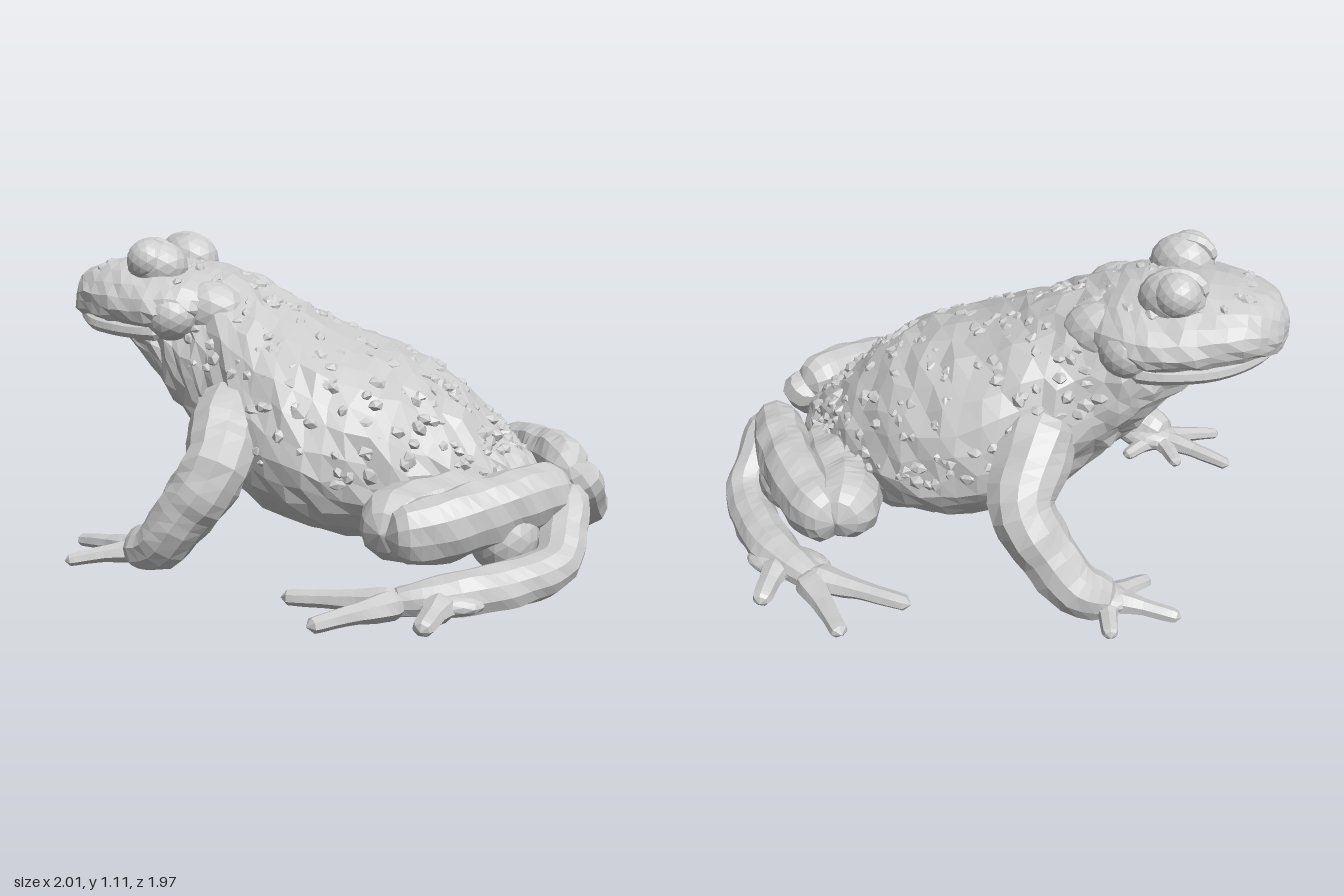
import * as THREE from 'three';
import { mergeGeometries } from 'three/addons/utils/BufferGeometryUtils.js';

const material = new THREE.MeshStandardMaterial({ color: 0xcccccc, flatShading: true });
let seed = 7;
const rand = () => (seed = (seed * 16807) % 2147483647) / 2147483647;
const V = (x, y, z) => new THREE.Vector3(x, y, z);
// Uneven skin: a smooth ripple that depends only on position
const ripple = p => Math.sin(31 * p.x + 17 * p.z) * Math.sin(29 * p.y + 13 * p.x) + 0.6 * Math.sin(47 * p.z - 37 * p.y);

function add(parent, name, geometry) {
  const mesh = new THREE.Mesh(geometry, material);
  mesh.name = name;
  parent.add(mesh);
  return mesh;
}

function ball(parent, name, [x, y, z], [sx, sy, sz]) {
  const mesh = add(parent, name, new THREE.IcosahedronGeometry(1, 2));
  mesh.position.set(x, y, z);
  mesh.scale.set(sx, sy, sz);
}

// Surface through upright cross-sections [x, top, bottom, half width]
function sectionSurface(rings, waist) {
  const heights = new THREE.CatmullRomCurve3(rings.map(r => V(r[0], r[1], r[2])));
  const widths = new THREE.CatmullRomCurve3(rings.map(r => V(r[0], r[3], 0)));
  return (t, a) => {
    const h = heights.getPoint(t), w = Math.max(widths.getPoint(t).y, 0);
    const mid = h.z + (h.y - h.z) * waist;
    const s = Math.sin(a), c = Math.cos(a);
    return V(h.x, mid + s * (s > 0 ? h.y - mid : mid - h.z), w * Math.sign(c) * Math.abs(c) ** 0.9);
  };
}

function loft(surface, rows, cols, rough) {
  const pos = [], index = [];
  for (let i = 0; i <= rows; i++) for (let j = 0; j < cols; j++) {
    const p = surface(i / rows, j / cols * Math.PI * 2);
    const k = rough * Math.min(1, i / 4, (rows - i) / 6);
    pos.push(p.x + (rand() - 0.5) * k, p.y + (rand() - 0.5) * k, p.z + (rand() - 0.5) * k);
    if (i === rows) continue;
    const a = i * cols + j, b = i * cols + (j + 1) % cols;
    index.push(a, a + cols, b, b, a + cols, b + cols);
  }
  const g = new THREE.BufferGeometry();
  g.setAttribute('position', new THREE.Float32BufferAttribute(pos, 3));
  g.setIndex(index);
  g.computeVertexNormals();
  return g;
}

// Round-ended tube through points [x, y, z, radius]; flat scales it in y
function limb(points, segments = 22, sides = 11, flat = 1) {
  const curve = new THREE.CatmullRomCurve3(points.map(p => V(p[0], p[1], p[2])));
  const g = new THREE.TubeGeometry(curve, segments, 1, sides);
  const pos = g.attributes.position, length = curve.getLength(), v = V(0, 0, 0);
  for (let i = 0; i < pos.count; i++) {
    const u = Math.floor(i / (sides + 1)) / segments;
    const f = curve.getUtoTmapping(u) * (points.length - 1);
    const k = Math.min(Math.floor(f), points.length - 2);
    let r = THREE.MathUtils.lerp(points[k][3], points[k + 1][3], f - k);
    const end = Math.min(u, 1 - u) * length;
    if (end < r) r *= Math.sqrt(Math.max(0, 1 - ((r - end) / r) ** 2));
    const c = curve.getPointAt(u);
    v.fromBufferAttribute(pos, i).sub(c).multiplyScalar(r);
    v.multiplyScalar(1 + 0.05 * ripple(v.clone().add(c)));
    pos.setXYZ(i, c.x + v.x, Math.max(c.y + v.y * flat, 0.008), c.z + v.z);
  }
  g.computeVertexNormals();
  return g;
}

// Digits from a shared root [x, z] to each tip [x, z]
function digits(parent, name, root, tips, rootY, r) {
  for (const [x, z] of tips) {
    const mx = root[0] * 0.5 + x * 0.5, mz = root[1] * 0.5 + z * 0.5;
    add(parent, name, limb([
      [root[0], rootY, root[1], r * 2], [mx, rootY * 0.85, mz, r * 1.15], [x, 0.03, z, r * 0.9],
    ], 16, 7, 0.85));
  }
}

export function createModel() {
  const toad = new THREE.Group();
  toad.name = 'toad';

  // Torso with throat and belly
  const torso = sectionSurface([
    [-0.86, 0.8, 0.77, 0.0], [-0.72, 0.86, 0.7, 0.18], [-0.6, 0.95, 0.58, 0.25],
    [-0.5, 1.0, 0.45, 0.29], [-0.38, 0.985, 0.32, 0.33], [-0.22, 0.92, 0.17, 0.43],
    [-0.05, 0.84, 0.1, 0.51], [0.15, 0.765, 0.065, 0.525], [0.35, 0.695, 0.055, 0.46],
    [0.52, 0.58, 0.06, 0.36], [0.68, 0.43, 0.065, 0.24], [0.78, 0.34, 0.09, 0.13], [0.825, 0.24, 0.18, 0.0],
  ], 0.43);
  add(toad, 'torso', loft(torso, 34, 30, 0.026));

  // Head with a full lip line
  const head = sectionSurface([
    [-1.0, 0.91, 0.85, 0.0], [-0.98, 0.95, 0.81, 0.1], [-0.92, 1.0, 0.79, 0.19],
    [-0.8, 1.03, 0.765, 0.28], [-0.68, 1.03, 0.75, 0.33], [-0.55, 1.02, 0.75, 0.355],
    [-0.45, 1.01, 0.77, 0.325], [-0.36, 0.97, 0.8, 0.25], [-0.29, 0.9, 0.85, 0.0],
  ], 0.42);
  add(toad, 'head', loft(head, 20, 22, 0.014));
  add(toad, 'lip', limb([
    [-0.5, 0.79, -0.3, 0.035], [-0.65, 0.79, -0.295, 0.028], [-0.84, 0.805, -0.215, 0.026],
    [-0.955, 0.825, 0, 0.026],
    [-0.84, 0.805, 0.215, 0.026], [-0.65, 0.79, 0.295, 0.028], [-0.5, 0.79, 0.3, 0.035],
  ], 28, 7));

  // Warts half sunk into the back and crown
  const warts = [];
  const wart = (surface, t, a, size) => {
    const g = new THREE.IcosahedronGeometry(size, 0);
    g.scale(1.3, 0.8, 1);
    g.rotateX(rand() * 6).rotateY(rand() * 6);
    const p = surface(t, a);
    const sink = size * 0.6;
    warts.push(g.translate(p.x, p.y - sink * Math.sin(a), p.z - sink * Math.cos(a)));
  };
  for (let i = 0; i < 280; i++) wart(torso, 0.3 + rand() * 0.56, -0.1 + rand() * 3.34, 0.018 + rand() * 0.016);
  for (let i = 0; i < 30; i++) wart(torso, 0.33 + rand() * 0.5, 1.3 + rand() * 0.54, 0.026 + rand() * 0.012);
  for (let i = 0; i < 26; i++) wart(head, 0.3 + rand() * 0.55, 0.5 + rand() * 2.14, 0.016 + rand() * 0.014);
  add(toad, 'warts', mergeGeometries(warts));

  // The limbs differ slightly in pose from side to side
  const sides = [
    { s: 1, name: 'left', eyeX: -0.62, hand: [-0.5, 0.53], palm: [-0.41, 0.575],
      fingers: [[-0.81, 0.435], [-0.73, 0.675], [-0.61, 0.375], [-0.39, 0.38]] },
    { s: -1, name: 'right', eyeX: -0.64, hand: [-0.52, -0.57], palm: [-0.43, -0.595],
      fingers: [[-0.785, -0.57], [-0.58, -0.74], [-0.64, -0.39], [-0.43, -0.42]] },
  ];
  for (const { s, name, eyeX, hand, palm, fingers } of sides) {
    const eye = new THREE.Group();
    eye.name = name + 'Eye';
    ball(eye, 'eyeSocket', [eyeX + 0.02, 1.01, s * 0.16], [0.115, 0.1, 0.095]);
    ball(eye, 'eyeball', [eyeX, 1.035, s * 0.19], [0.082, 0.08, 0.08]);
    add(eye, 'eyelid', limb([
      [eyeX - 0.09, 1.02, s * 0.16, 0.022], [eyeX - 0.06, 1.075, s * 0.155, 0.028],
      [eyeX + 0.02, 1.09, s * 0.16, 0.03], [eyeX + 0.09, 1.05, s * 0.175, 0.028],
      [eyeX + 0.1, 0.99, s * 0.2, 0.022],
    ], 12, 7));
    toad.add(eye);
    ball(toad, name + 'Jowl', [-0.5, 0.845, s * 0.265], [0.1, 0.09, 0.09]);
    ball(toad, name + 'NeckGland', [-0.39, 0.86, s * 0.18], [0.14, 0.11, 0.1]);

    // Front leg
    const arm = new THREE.Group();
    arm.name = name + 'FrontLeg';
    add(arm, 'arm', limb([
      [-0.24, 0.58, s * 0.27, 0.13], [-0.22, 0.48, s * 0.43, 0.13], [-0.215, 0.36, s * 0.55, 0.115],
      [-0.325, 0.2, s * 0.585, 0.102], [palm[0], 0.095, palm[1], 0.096], [hand[0] - 0.05, 0.055, hand[1], 0.075],
    ]));
    ball(arm, 'palm', [hand[0] + 0.04, 0.058, hand[1]], [0.13, 0.05, 0.085]);
    digits(arm, 'finger', hand, fingers, 0.055, 0.029);
    toad.add(arm);

    // Hind leg, folded: thigh forward, shin back, long foot forward
    const leg = new THREE.Group();
    leg.name = name + 'HindLeg';
    add(leg, 'thigh', limb([
      [0.68, 0.22, s * 0.13, 0.13], [0.55, 0.23, s * 0.34, 0.14],
      [0.455, 0.235, s * 0.48, 0.132], [0.42, 0.24, s * 0.58, 0.12], [0.41, 0.24, s * 0.67, 0.09],
    ]));
    add(leg, 'shin', limb([
      [0.42, 0.23, s * 0.66, 0.08], [0.54, 0.24, s * 0.585, 0.1], [0.69, 0.27, s * 0.435, 0.104],
      [0.81, 0.29, s * 0.27, 0.1], [0.9, 0.29, s * 0.12, 0.085],
    ], 22, 11, 1.15));
    ball(leg, 'calf', [0.74, 0.18, s * 0.34], [0.12, 0.13, 0.14]);
    add(leg, 'ankle', limb([
      [0.875, 0.32, s * 0.14, 0.08], [0.91, 0.25, s * 0.17, 0.09], [0.92, 0.16, s * 0.27, 0.085],
      [0.915, 0.1, s * 0.37, 0.082], [0.81, 0.075, s * 0.52, 0.085], [0.67, 0.065, s * 0.65, 0.085],
      [0.46, 0.045, s * 0.755, 0.05],
    ], 26, 11, 0.9));
    ball(leg, 'sole', [0.6, 0.053, s * 0.69], [0.16, 0.045, 0.085]);
    digits(leg, 'toe', [0.63, s * 0.7], [[0.61, s * 0.91]], 0.055, 0.036);
    digits(leg, 'toe', [0.51, s * 0.74], [[0.11, s * 0.765], [0.275, s * 0.98], [0.36, s * 0.73]], 0.05, 0.033);
    toad.add(leg);
  }
  return toad;
}
